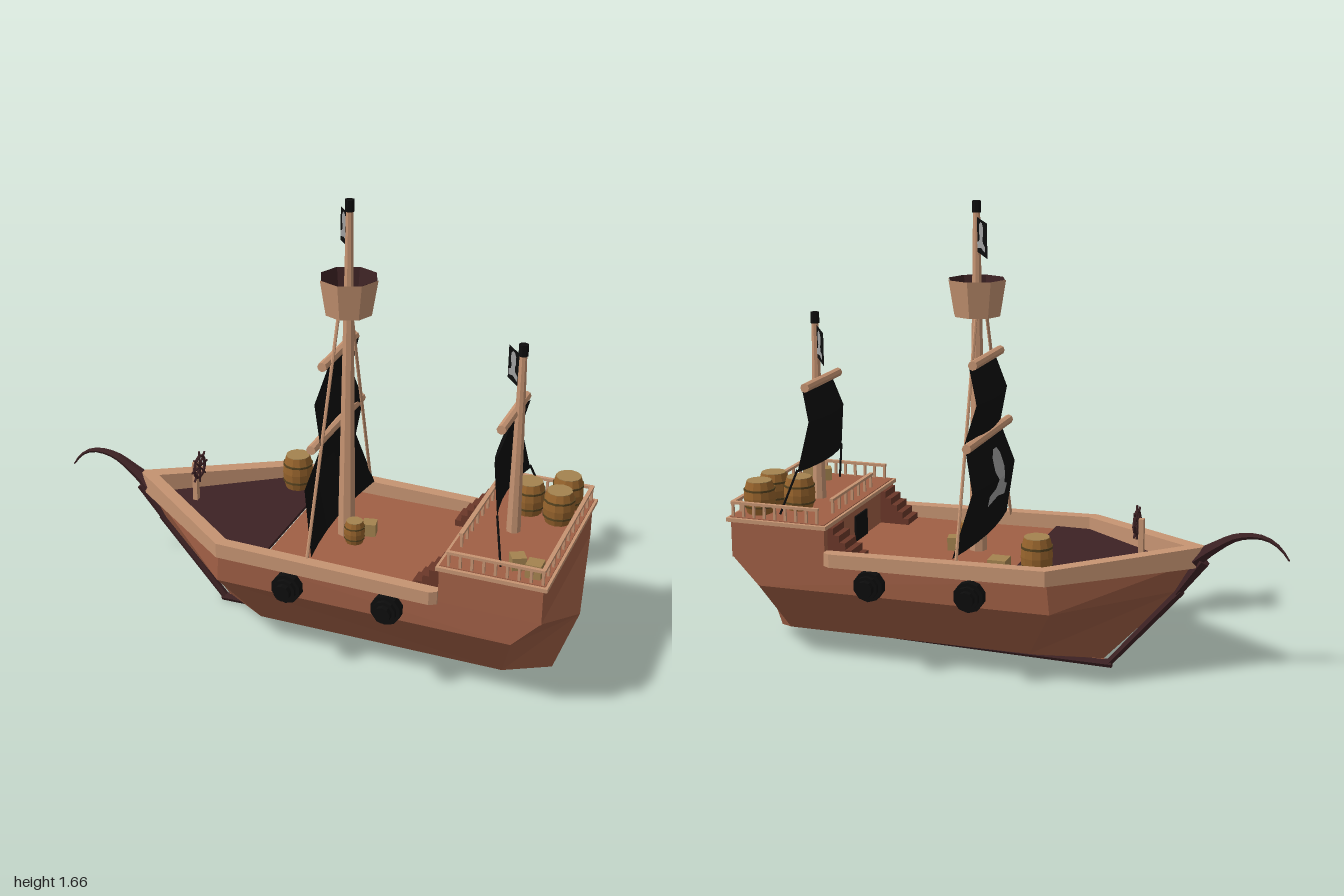
import * as THREE from 'three';

const mat = (name, color, side = THREE.FrontSide) =>
  Object.assign(new THREE.MeshStandardMaterial({ color, flatShading: true, side }), { name });
const V = (x, y, z) => new THREE.Vector3(x, y, z);
const lerp = THREE.MathUtils.lerp;

export function createModel() {
  const ship = new THREE.Group();
  ship.name = 'sailingShip';
  const hullWood = mat('hullWood', 0xa05f45);
  const paleWood = mat('paleWood', 0xc69472);
  const darkWood = mat('darkWood', 0x3d2224, THREE.DoubleSide);
  const stepWood = mat('stepWood', 0x6b3829);
  const black = mat('black', 0x0d0d0d, THREE.DoubleSide);
  const grey = mat('emblemGrey', 0xa0a0a0, THREE.DoubleSide);
  const barrelWood = mat('barrelWood', 0x96632c);
  const lidWood = mat('lidWood', 0xa4834f);
  const hoopBrown = mat('hoopBrown', 0x57431f);

  const add = (name, geo, material, x = 0, y = 0, z = 0, parent = ship) => {
    const m = new THREE.Mesh(geo, material);
    m.name = name;
    m.position.set(x, y, z);
    parent.add(m);
    return m;
  };
  const box = (name, material, w, h, d, x, y, z) =>
    add(name, new THREE.BoxGeometry(w, h, d), material, x, y, z);
  // Tapered rod from a to b
  const rod = (name, material, a, b, ra, rb = ra, sides = 6) => {
    const m = add(name, new THREE.CylinderGeometry(rb, ra, a.distanceTo(b), sides), material);
    m.position.copy(a).lerp(b, 0.5);
    m.quaternion.setFromUnitVectors(V(0, 1, 0), b.clone().sub(a).normalize());
    return m;
  };
  // Flat plate from [x, z] outline, raised from y by h
  const plate = (pts, y, h) => {
    const shape = new THREE.Shape(pts.map(([x, z]) => new THREE.Vector2(x, -z)));
    return new THREE.ExtrudeGeometry(shape, { depth: h, bevelEnabled: false }).rotateX(-Math.PI / 2).translate(0, y, 0);
  };

  // Hull: three stations of top, middle, chine and keel, then a pointed stern
  const stations = [
    [[-0.69, 0.44, 0], [-0.62, 0.32, 0], [-0.35, 0.035, 0], [-0.37, 0.02, 0]],
    [[-0.23, 0.415, 0.335], [-0.24, 0.3, 0.33], [-0.13, 0.1, 0.2], [-0.1, 0.018, 0]],
    [[0.945, 0.4, 0.33], [0.845, 0.295, 0.33], [0.785, 0.1, 0.2], [0.915, 0.025, 0]],
  ].map(s => [...s, ...s.slice(0, 3).reverse().map(([x, y, z]) => [x, y, -z])]);
  const tri = [];
  for (let s = 0; s < 2; s++) {
    const a = stations[s], b = stations[s + 1];
    for (let i = 0; i < 6; i++) {
      if (i < 3) tri.push(a[i], a[i + 1], b[i + 1], a[i], b[i + 1], b[i]);
      else tri.push(a[i], a[i + 1], b[i], a[i + 1], b[i + 1], b[i]);
    }
  }
  for (let i = 0; i < 7; i++) tri.push([1, 0.265, 0], stations[2][i], stations[2][(i + 1) % 7]);
  const hullGeo = new THREE.BufferGeometry();
  hullGeo.setAttribute('position', new THREE.Float32BufferAttribute(tri.flat(), 3));
  hullGeo.computeVertexNormals();
  add('hull', hullGeo, hullWood);

  // Decks and raised stern cabin
  add('mainDeck', plate([[-0.08, -0.33], [-0.08, 0.33], [0.6, 0.33], [0.6, -0.33]], 0.39, 0.012), hullWood);
  add('foreDeck', plate([[-0.66, 0], [-0.22, 0.325], [-0.08, 0.325], [-0.08, -0.325], [-0.22, -0.325]], 0.405, 0.012), darkWood);
  box('sternCabin', hullWood, 0.36, 0.14, 0.66, 0.765, 0.465, 0);
  box('cabinTrim', paleWood, 0.385, 0.014, 0.68, 0.7675, 0.534, 0);
  box('sternDeck', hullWood, 0.365, 0.008, 0.655, 0.7675, 0.54, 0);
  box('cabinDoor', black, 0.008, 0.095, 0.11, 0.582, 0.45, 0);

  // Gunwale, rising toward the bow
  const half = [[0.585, 0.31], [0.585, 0.34], [0.56, 0.355], [-0.23, 0.355], [-0.7, 0.012]];
  const innerHalf = [[-0.635, 0], [-0.21, 0.31]];
  const mirror = p => p.map(([x, z]) => [x, -z]).reverse();
  const gunwale = plate([...half, ...mirror(half), [-0.21, -0.31], ...innerHalf], 0, 1);
  const gp = gunwale.attributes.position;
  for (let i = 0; i < gp.count; i++) {
    const x = gp.getX(i), t = Math.max(0, (-0.22 - x) / 0.48);
    const low = x > -0.24 ? lerp(0.408, 0.398, (x + 0.23) / 0.8) : 0.408 + 0.008 * t;
    const high = x > -0.24 ? lerp(0.463, 0.447, (x + 0.23) / 0.8) : 0.463 + 0.027 * t;
    gp.setY(i, gp.getY(i) > 0.5 ? high : low);
  }
  gunwale.computeVertexNormals();
  add('gunwale', gunwale, paleWood);

  // Stem, keel and curved bowsprit
  rod('stem', darkWood, V(-0.7, 0.44, 0), V(-0.61, 0.31, 0), 0.03, 0.018);
  rod('stem', darkWood, V(-0.625, 0.32, 0), V(-0.37, 0.022, 0), 0.018, 0.014);
  rod('keel', darkWood, V(-0.38, 0.018, 0), V(0.45, 0.022, 0), 0.016, 0.004);
  const curve = new THREE.CatmullRomCurve3([V(-0.67, 0.44, 0), V(-0.74, 0.49, 0), V(-0.82, 0.535, 0), V(-0.91, 0.54, 0), V(-0.965, 0.51, 0), V(-1, 0.465, 0)]);
  const sprit = new THREE.TubeGeometry(curve, 12, 1, 6);
  const sp = sprit.attributes.position;
  for (let i = 0; i < sp.count; i++) {
    const t = Math.floor(i / 7) / 12, c = curve.getPointAt(t), p = V(0, 0, 0).fromBufferAttribute(sp, i);
    p.sub(c).multiplyScalar(lerp(0.037, 0.003, Math.sqrt(t))).add(c);
    sp.setXYZ(i, p.x, p.y, p.z);
  }
  add('bowsprit', sprit, darkWood);

  // Cannons and stairs on both sides
  for (const s of [1, -1]) {
    for (const x of [0.04, 0.41]) {
      [[0.055, 0.33, 0.365], [0.042, 0.36, 0.38], [0.03, 0.375, 0.4]].forEach(([r, z0, z1]) =>
        rod('cannon', black, V(x, 0.345, s * z0), V(x, 0.345, s * z1), r, r, 10));
    }
    for (let i = 0; i < 5; i++) {
      const h = 0.025 * (i + 1);
      box('stairStep', stepWood, 0.024, h, 0.1, 0.484 + i * 0.023, 0.4 + h / 2, s * 0.25);
    }
  }

  // Stern railing
  const posts = [];
  for (let i = 0; i <= 8; i++) for (const s of [1, -1]) posts.push([0.615 + i * 0.0406, s * 0.32]);
  for (let i = 1; i < 10; i++) posts.push([0.94, -0.32 + i * 0.064]);
  for (let i = 0; i < 7; i++) posts.push([0.615, -0.18 + i * 0.06]);
  posts.forEach(([x, z]) => box('railPost', paleWood, 0.009, 0.055, 0.009, x, 0.567, z));
  for (const s of [1, -1]) box('handRail', paleWood, 0.337, 0.01, 0.014, 0.7775, 0.595, s * 0.32);
  box('handRail', paleWood, 0.014, 0.01, 0.64, 0.94, 0.595, 0);
  box('handRail', paleWood, 0.014, 0.01, 0.38, 0.615, 0.595, 0);

  // Masts
  const mast = (x, y0, y1, r0, r1) => {
    rod('mast', paleWood, V(x, y0, 0), V(x, y1 - 0.03, 0), r0, r1, 8);
    rod('mastCap', black, V(x, y1 - 0.04, 0), V(x, y1, 0), r1 + 0.004, r1 + 0.004, 8);
  };
  mast(0.125, 0.4, 1.66, 0.034, 0.013);
  mast(0.745, 0.54, 1.24, 0.026, 0.013);

  // Crow's nest with dark inside
  add('crowsNest', new THREE.CylinderGeometry(0.107, 0.085, 0.13, 8, 1, true), paleWood, 0.125, 1.325, 0);
  add('nestInside', new THREE.CylinderGeometry(0.103, 0.082, 0.128, 8, 1, true), darkWood, 0.125, 1.325, 0);
  add('nestFloor', new THREE.CylinderGeometry(0.085, 0.085, 0.012, 8), darkWood, 0.125, 1.268, 0);

  // Skull-like mark in two halves, in a unit square
  const markHalves = [
    [[-0.16, 0], [0.16, 0], [0.26, 0.14], [0.24, 0.36], [0.1, 0.48], [-0.1, 0.48], [-0.24, 0.36], [-0.26, 0.14]],
    [[-0.16, 0], [-0.22, -0.14], [-0.46, -0.22], [-0.42, -0.4], [0, -0.32], [0.42, -0.4], [0.46, -0.22], [0.22, -0.14], [0.16, 0]],
  ];
  // Bends a flat geometry through a rule (x, y) -> point
  const bend = (geo, rule) => {
    const p = geo.attributes.position;
    for (let i = 0; i < p.count; i++) {
      const q = rule(p.getX(i), p.getY(i));
      p.setXYZ(i, q.x, q.y, q.z);
    }
    geo.computeVertexNormals();
    return geo;
  };
  const mark = rule => markHalves.forEach(h =>
    add('skullMark', bend(new THREE.ShapeGeometry(new THREE.Shape(h.map(p => new THREE.Vector2(...p)))), rule), grey));

  // Sails: folded outward at the given height fraction
  const sail = (top, bottom, foldX, foldV) => {
    const rule = (a, b) => {
      const u = a * 2, v = 0.5 - b;
      const x = v < foldV ? lerp(top[0], foldX, v / foldV) : lerp(foldX, bottom[0], (v - foldV) / (1 - foldV));
      return V(x + 0.025 * u * u, lerp(top[1], bottom[1], v), u * lerp(top[2], bottom[2], v));
    };
    const g = new THREE.PlaneGeometry(1, 1, 6, 10);
    add('sail', bend(g, rule), black);
    return rule;
  };
  sail([0.085, 1.11, 0.14], [0.08, 0.84, 0.205], 0.045, 0.5);
  const mainRule = sail([0.078, 0.825, 0.2], [0.09, 0.46, 0.31], 0.038, 0.4);
  sail([0.72, 0.985, 0.13], [0.715, 0.69, 0.2], 0.685, 0.4);
  mark((a, b) => mainRule(a * 0.42, b * 0.6 + 0.1).add(V(-0.006, 0, 0)));

  // Yards
  [[0.09, 1.11, 0.155], [0.085, 0.835, 0.24], [0.725, 0.99, 0.15]].forEach(([x, y, w]) =>
    rod('yard', paleWood, V(x, y, -w), V(x, y, w), 0.017, 0.017, 8));

  // Rigging
  for (const s of [1, -1]) {
    rod('rigging', paleWood, V(0.11, 1.27, s * 0.055), V(0.1, 0.43, s * 0.32), 0.006);
    rod('rigging', black, V(0.74, 0.7, s * 0.2), V(0.78, 0.55, s * 0.27), 0.004);
  }

  // Flags with a mark on each face
  [[0.12, 1.605], [0.735, 1.195]].forEach(([x, y]) => {
    const rule = off => (a, b) => V(x - (a + 0.5) * 0.07 + off, y - 0.065 + b * 0.12 - 0.01 * a, -0.01 - (a + 0.5) * 0.1);
    add('flag', bend(new THREE.PlaneGeometry(1, 1), rule(0)), black);
    for (const off of [0.004, -0.004]) mark((a, b) => rule(off)(a * 0.85, b * 0.9));
  });

  // Barrels
  const barrel = (x, y, z, r, h) => {
    const g = new THREE.Group();
    g.name = 'barrel';
    g.position.set(x, y, z);
    ship.add(g);
    const prof = [[0.8, 0], [0.95, 0.25], [1, 0.5], [0.95, 0.75], [0.8, 1]].map(([a, b]) => new THREE.Vector2(a * r, b * h));
    add('barrelStaves', new THREE.LatheGeometry(prof, 12), barrelWood, 0, 0, 0, g);
    add('barrelLid', new THREE.CylinderGeometry(r * 0.79, r * 0.79, 0.006, 12), lidWood, 0, h - 0.001, 0, g);
    for (const t of [0.25, 0.75])
      add('barrelHoop', new THREE.CylinderGeometry(r * 0.99, r * 0.99, h * 0.06, 12, 1), hoopBrown, 0, h * t, 0, g);
  };
  barrel(-0.17, 0.415, -0.245, 0.057, 0.132);
  barrel(0.175, 0.4, 0.05, 0.038, 0.085);
  [[0.87, -0.245], [0.87, -0.125], [0.755, -0.155]].forEach(([x, z]) => barrel(x, 0.542, z, 0.057, 0.12));

  // Crates
  [[-0.04, 0.4, -0.265, 0.066, 0], [0.205, 0.4, -0.025, 0.05, 0.2], [0.83, 0.54, 0.24, 0.05, 0.5], [0.897, 0.54, 0.27, 0.054, 0]]
    .forEach(([x, y, z, s, turn]) => { box('crate', lidWood, s, s, s, x, y + s / 2, z).rotation.y = turn; });

  // Steering wheel on a post
  box('wheelPost', paleWood, 0.018, 0.16, 0.022, -0.48, 0.49, 0);
  add('wheelRim', new THREE.TorusGeometry(0.042, 0.006, 5, 12), darkWood, -0.463, 0.555, 0).rotation.y = Math.PI / 2;
  for (let i = 0; i < 4; i++) {
    const a = i * Math.PI / 4, dy = Math.cos(a) * 0.062, dz = Math.sin(a) * 0.062;
    rod('wheelSpoke', darkWood, V(-0.463, 0.555 - dy, -dz), V(-0.463, 0.555 + dy, dz), 0.004);
  }
  return ship;
}
